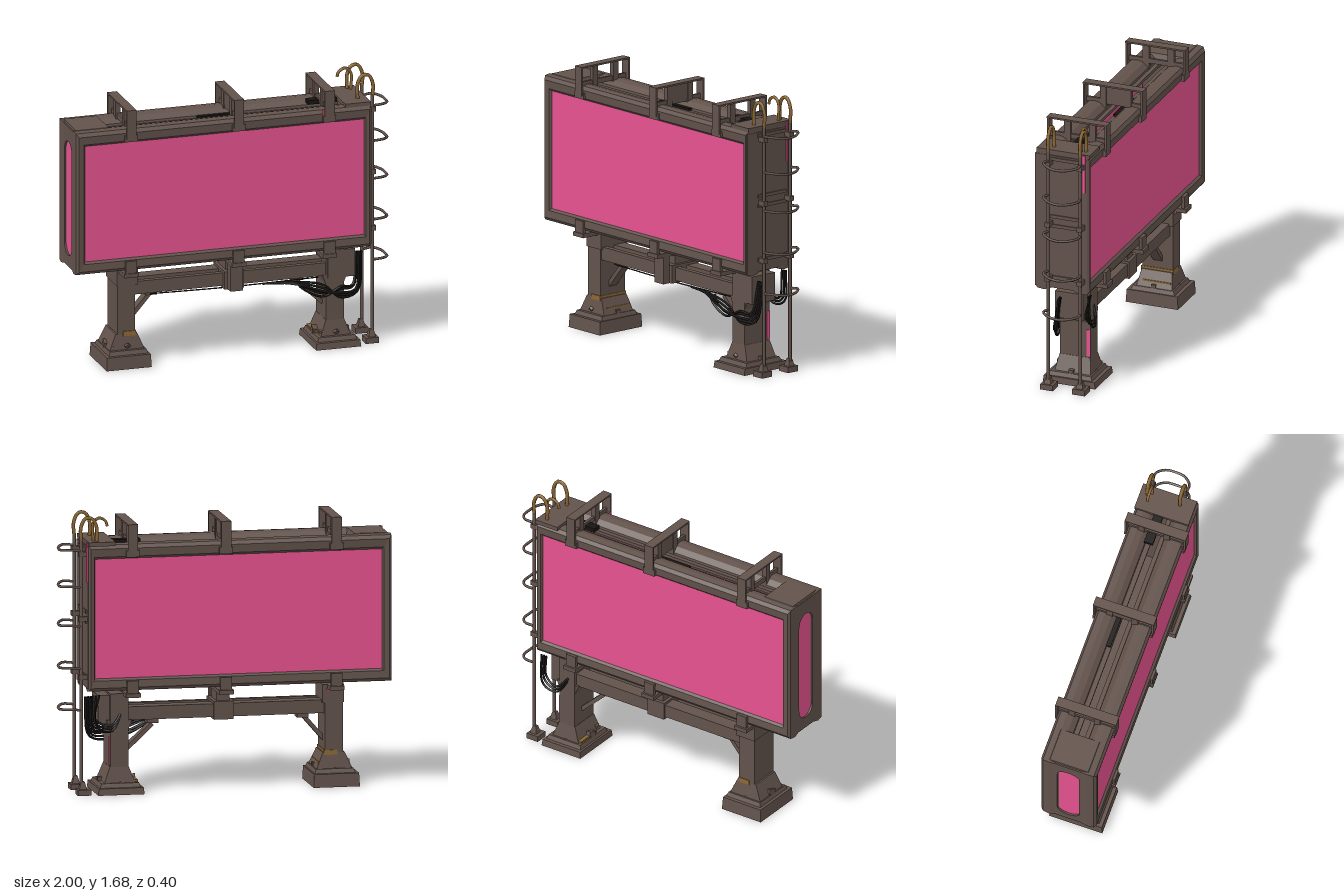
import * as THREE from 'three';

const mat = (name, color) => {
  const m = new THREE.MeshStandardMaterial({ color, side: THREE.DoubleSide });
  m.name = name;
  return m;
};

export function createModel() {
  const steel = mat('brown steel', 0x62524b);
  const pink = mat('pink screen', 0xe6528f);
  const black = mat('black cable', 0x171514);
  const ochre = mat('ochre paint', 0x8c6834);
  const root = new THREE.Group();
  root.name = 'billboard';

  const add = (name, geo, m = steel, parent = root) => {
    const mesh = new THREE.Mesh(geo, m);
    mesh.name = name;
    parent.add(mesh);
    return mesh;
  };
  // box given by its min and max on each axis
  const box = (name, x0, x1, y0, y1, z0, z1, m, parent) => {
    const mesh = add(name, new THREE.BoxGeometry(x1 - x0, y1 - y0, z1 - z0), m, parent);
    mesh.position.set((x0 + x1) / 2, (y0 + y1) / 2, (z0 + z1) / 2);
    return mesh;
  };
  // box whose top is scaled to make a frustum
  const taper = (name, cx, y0, y1, cz, w, d, kx, kz) => {
    const g = new THREE.BoxGeometry(w, y1 - y0, d), p = g.attributes.position;
    for (let i = 0; i < p.count; i++) {
      if (p.getY(i) > 0) p.setXYZ(i, p.getX(i) * kx, p.getY(i), p.getZ(i) * kz);
    }
    g.computeVertexNormals();
    add(name, g).position.set(cx, (y0 + y1) / 2, cz);
  };
  const tube = (name, pts, r, m = steel, seg = 20, sides = 6) => add(name,
    new THREE.TubeGeometry(new THREE.CatmullRomCurve3(pts.map(p => new THREE.Vector3(...p))), seg, r, sides), m);

  // mitred frame swept round the screen; profile = [inset 0..1, z]
  const profile = [[1, 0.155], [0.85, 0.17], [0.3, 0.175], [0.06, 0.16], [0, 0.12], [0.1, 0.08], [0.4, 0.05], [1, 0.04]];
  const frameGeometry = side => {
    const rings = [[0, 0], [1, 0], [1, 1], [0, 1]].map(([r, t]) => profile.map(([s, z]) => [
      r ? 0.84 - 0.04 * s : -1 + 0.06 * s,
      t ? 1.51 - 0.09 * s : 0.62 + 0.08 * s,
      z * side + 0.008]));
    const v = [];
    for (let i = 0; i < 4; i++) for (let k = 0; k < profile.length; k++) {
      const n = (k + 1) % profile.length, j = (i + 1) % 4;
      const q = [rings[i][k], rings[i][n], rings[j][n], rings[j][k]];
      if (side < 0) q.reverse();
      for (const c of [0, 1, 2, 0, 2, 3]) v.push(...q[c]);
    }
    const g = new THREE.BufferGeometry();
    g.setAttribute('position', new THREE.Float32BufferAttribute(v, 3));
    g.computeVertexNormals();
    return g;
  };
  for (const side of [1, -1]) {
    const label = side > 0 ? 'front' : 'back';
    add(label + 'Frame', frameGeometry(side));
    const z = 0.008 + side * 0.152;
    box(label + 'Screen', -0.942, 0.802, 0.698, 1.422, z - 0.003, z + 0.003, pink);
    // sunken roof strips beside the central slit
    const a = 0.01 + side * 0.02, b = 0.008 + side * 0.07;
    box(label + 'RoofStrip', -0.8, 0.72, 1.44, 1.46, Math.min(a, b), Math.max(a, b));
  }

  // end cabinets
  box('rightCabinet', -0.975, -0.78, 0.64, 1.49, -0.135, 0.151);
  taper('rightCabinetCap', -0.882, 1.475, 1.512, 0.008, 0.225, 0.32, 0.9, 0.75);
  box('leftCabinet', 0.7, 0.835, 0.64, 1.51, -0.135, 0.151);
  box('leftCabinetLid', 0.68, 0.84, 1.5, 1.525, -0.17, 0.17);
  box('leftCabinetPanel', 0.83, 0.842, 0.64, 1.49, -0.15, 0.178);
  for (const y of [0.7, 1.03, 1.09, 1.46]) box('cabinetSeam', 0.84, 0.85, y, y + 0.02, -0.12, 0.1);
  box('pinkEdgeStrip', 0.842, 0.848, 1.28, 1.52, -0.145, -0.125, pink);

  // end bezel with a round-ended window
  const bezel = new THREE.Shape();
  bezel.moveTo(-0.155, 0.63).lineTo(0.155, 0.63).lineTo(0.155, 1.5).lineTo(-0.155, 1.5).closePath();
  const slot = new THREE.Path();
  slot.absarc(0, 1.34, 0.07, 0, Math.PI).absarc(0, 0.77, 0.07, Math.PI, Math.PI * 2).closePath();
  bezel.holes.push(slot);
  const bezelMesh = add('endBezel', new THREE.ExtrudeGeometry(bezel, { depth: 0.018, bevelEnabled: false }));
  bezelMesh.rotation.y = -Math.PI / 2;
  bezelMesh.position.set(-0.977, 0, 0.008);
  box('endScreen', -0.984, -0.978, 0.69, 1.42, -0.07, 0.086, pink);

  // roof straps and lower clamps
  for (const x of [-0.66, 0.01, 0.575]) {
    const g = new THREE.Group();
    g.name = 'clamp';
    root.add(g);
    box('strapTop', x - 0.03, x + 0.03, 1.617, 1.627, -0.183, 0.2, steel, g);
    for (const s of [1, -1]) {
      const z = 0.008 + s * 0.178;
      box('strapLeg', x - 0.03, x + 0.03, 1.45, 1.627, z + s * 0.007 - 0.006, z + s * 0.007 + 0.006, steel, g);
      box('strapFoot', x - 0.04, x + 0.04, 1.43, 1.47, z - 0.012, z + 0.008, steel, g);
      box('lowerJaw', x - 0.035, x + 0.035, 0.6, 0.685, z - 0.012, z + 0.008, steel, g);
      box('strapPost', x - 0.015, x + 0.015, 1.45, 1.62, s * 0.08 - 0.025, s * 0.08 + 0.015, steel, g);
    }
    box('strapWeb', x - 0.008, x + 0.008, 1.5, 1.53, -0.17, 0.185, steel, g);
    box('crossBar', x - 0.045, x + 0.045, 0.585, 0.61, -0.195, 0.2, steel, g);
  }
  box('middleStrapWeb', 0, 0.02, 1.52, 1.62, -0.1, 0.07);
  box('pinkStrapChip', 0.535, 0.548, 1.472, 1.51, 0.176, 0.184, pink);

  // twin beams with the middle bracket
  box('frontBeam', -0.62, 0.62, 0.435, 0.515, 0.036, 0.07);
  box('backBeam', -0.62, 0.62, 0.435, 0.515, -0.1, -0.016);
  box('middleHanger', -0.03, 0.05, 0.5, 0.6, -0.09, 0.06);
  box('middleBracket', -0.05, 0.07, 0.42, 0.53, -0.11, 0.1);
  box('frontHanger', -0.03, 0.05, 0.42, 0.6, 0.1, 0.15);

  // legs with stepped feet and rubble
  const leg = (name, x, baseX, baseH, flareW) => {
    taper(name + 'Base', baseX, 0, baseH, -0.015, 0.28, 0.335, 0.97, 0.97);
    taper(name + 'Plinth', x, baseH, baseH + 0.025, -0.015, 0.245, 0.28, 0.93, 0.93);
    taper(name + 'Flare', x, baseH + 0.02, baseH + 0.12, -0.02, flareW, 0.23, 0.6, 0.85);
    box(name + 'Post', x - 0.055, x + 0.055, baseH + 0.08, 0.6, -0.118, 0.078);
    for (let i = 0; i < 8; i++) {
      const t = i * 0.785, s = 0.022 + 0.01 * Math.sin(i * 5);
      const r = add(name + 'Rubble', new THREE.BoxGeometry(s * 1.6, s, s * 1.3));
      r.position.set(x + 0.095 * Math.cos(t), baseH + 0.035 + 0.015 * Math.sin(i * 7), -0.015 + 0.115 * Math.sin(t));
      r.rotation.set(i, i * 2, i * 3);
    }
  };
  leg('rightLeg', -0.655, -0.66, 0.08, 0.22);
  leg('leftLeg', 0.645, 0.645, 0.04, 0.19);
  box('ochreCollar', -0.675, -0.596, 0.185, 0.215, -0.122, 0.084, ochre);
  box('ochreFootPatch', -0.62, -0.56, 0.135, 0.145, -0.12, 0.06, ochre);
  box('ochreFootPatch', 0.535, 0.6, 0.07, 0.08, -0.13, 0.03, ochre);
  box('pinkLegStrip', 0.699, 0.705, 0.17, 0.34, -0.117, -0.095, pink);
  box('pinkHeadChip', -0.66, -0.61, 0.575, 0.59, -0.132, -0.125, pink);
  box('rightLegHead', -0.715, -0.585, 0.5, 0.61, -0.125, 0.085);
  box('junctionBox', 0.6, 0.77, 0.42, 0.59, -0.1, 0.08);
  taper('leftLegHead', 0.645, 0.38, 0.44, -0.02, 0.11, 0.19, 1.4, 1);

  // diagonal braces
  for (const [x0, y0, x1, y1] of [[-0.61, 0.27, -0.48, 0.42], [0.59, 0.25, 0.43, 0.4]]) {
    const b = add('brace', new THREE.BoxGeometry(Math.hypot(x1 - x0, y1 - y0), 0.025, 0.06));
    b.position.set((x0 + x1) / 2, (y0 + y1) / 2, -0.02);
    b.rotation.z = Math.atan2(y1 - y0, x1 - x0);
    box('braceShoe', x1 - 0.035, x1 + 0.035, 0.405, 0.44, -0.06, 0.02);
  }

  // hanging cables
  for (let i = 0; i < 5; i++) {
    const d = i * 0.018, z = 0.085 + 0.01 * (i % 3);
    tube('frontCable', [[0.2 + d * 3, 0.42 - d * 0.1, 0.06], [0.42, 0.415 - d * 0.3, z], [0.56, 0.39 - d, z + 0.01],
      [0.68, 0.295 + d, z], [0.79 - d * 0.5, 0.32 + d * 0.6, z - 0.02], [0.82 - d * 0.5, 0.56, 0.04]], 0.0075, black, 28, 5);
    if (i < 3) tube('backCable', [[0.62, 0.5, -0.1], [0.7, 0.38 + d, -0.15], [0.79, 0.41 + d, -0.16 + d],
      [0.81 - d, 0.6, -0.15]], 0.007, black, 18, 5);
  }
  tube('beamWire', [[-0.5, 0.425, 0.055], [0, 0.42, 0.06], [0.55, 0.425, 0.055]], 0.004, black);
  box('roofCable', -0.18, 0.09, 1.462, 1.475, -0.05, -0.015, black);
  box('roofCable', 0.5, 0.68, 1.49, 1.515, -0.045, 0.01, black);

  // ladder: poles, feet, wall ties, ochre grab rails and hoops
  for (const z of [0.08, -0.125]) {
    const pole = add('ladderPole', new THREE.CylinderGeometry(0.011, 0.011, 1.5, 8));
    pole.position.set(0.877, 0.79, z);
    box('ladderFoot', 0.825, 0.905, 0, 0.035, z - 0.04, z + 0.04);
    taper('ladderAnkle', 0.87, 0.035, 0.08, z, 0.045, 0.045, 0.5, 0.5);
    for (const y of [0.71, 1.06, 1.45]) box('wallTie', 0.835, 0.895, y - 0.015, y + 0.015, z - 0.015, z + 0.015);
    tube('grabRail', [[0.877, 1.52, z], [0.88, 1.61, z], [0.85, 1.665, z], [0.81, 1.66, z],
      [0.785, 1.61, z], [0.785, 1.52, z]], 0.011, ochre);
  }
  tube('grabHook', [[0.8, 1.52, -0.1], [0.8, 1.63, -0.1], [0.765, 1.66, -0.1], [0.725, 1.64, -0.1], [0.715, 1.61, -0.1]], 0.009, ochre);
  for (const y of [0.51, 0.76, 1.015, 1.25, 1.47]) {
    tube('ladderHoop', [[0.877, y, 0.08], [0.94, y + 0.006, 0.085], [0.983, y, 0.035], [0.991, y - 0.005, -0.02],
      [0.983, y, -0.08], [0.94, y + 0.006, -0.13], [0.877, y, -0.125]], 0.008);
  }
  return root;
}
